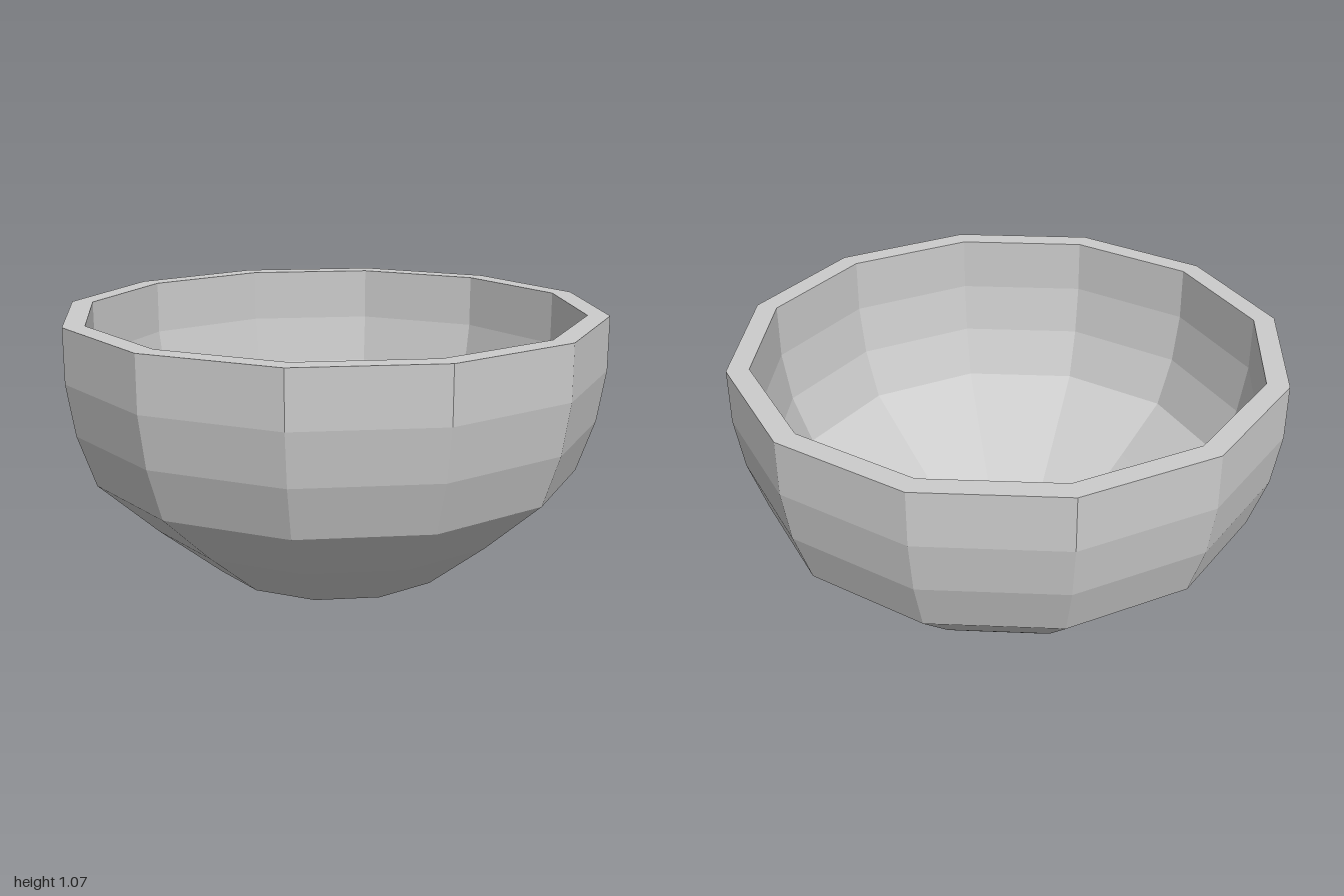
import * as THREE from 'three';

export function createModel() {
  const group = new THREE.Group();
  group.name = 'bowl';
  const material = new THREE.MeshStandardMaterial({ color: 0xcccccc, flatShading: true });

  // Closed wall profile [radius, height]: up the outside, over the rim, down the inside
  const outside = [[0, 0], [0.155, 0], [0.45, 0.1], [0.685, 0.29], [0.905, 0.49], [0.97, 0.68], [1, 0.87], [1, 1.07]];
  const inside = [[0.92, 1.07], [0.92, 0.87], [0.89, 0.685], [0.82, 0.505], [0.62, 0.34], [0.4, 0.165], [0.12, 0.08], [0, 0.08]];
  const profile = [...outside, ...inside].map(([r, y]) => new THREE.Vector2(r, y));

  // Twelve-sided faceted bowl
  const bowl = new THREE.Mesh(new THREE.LatheGeometry(profile, 12), material);
  bowl.name = 'bowlWall';
  group.add(bowl);
  return group;
}
